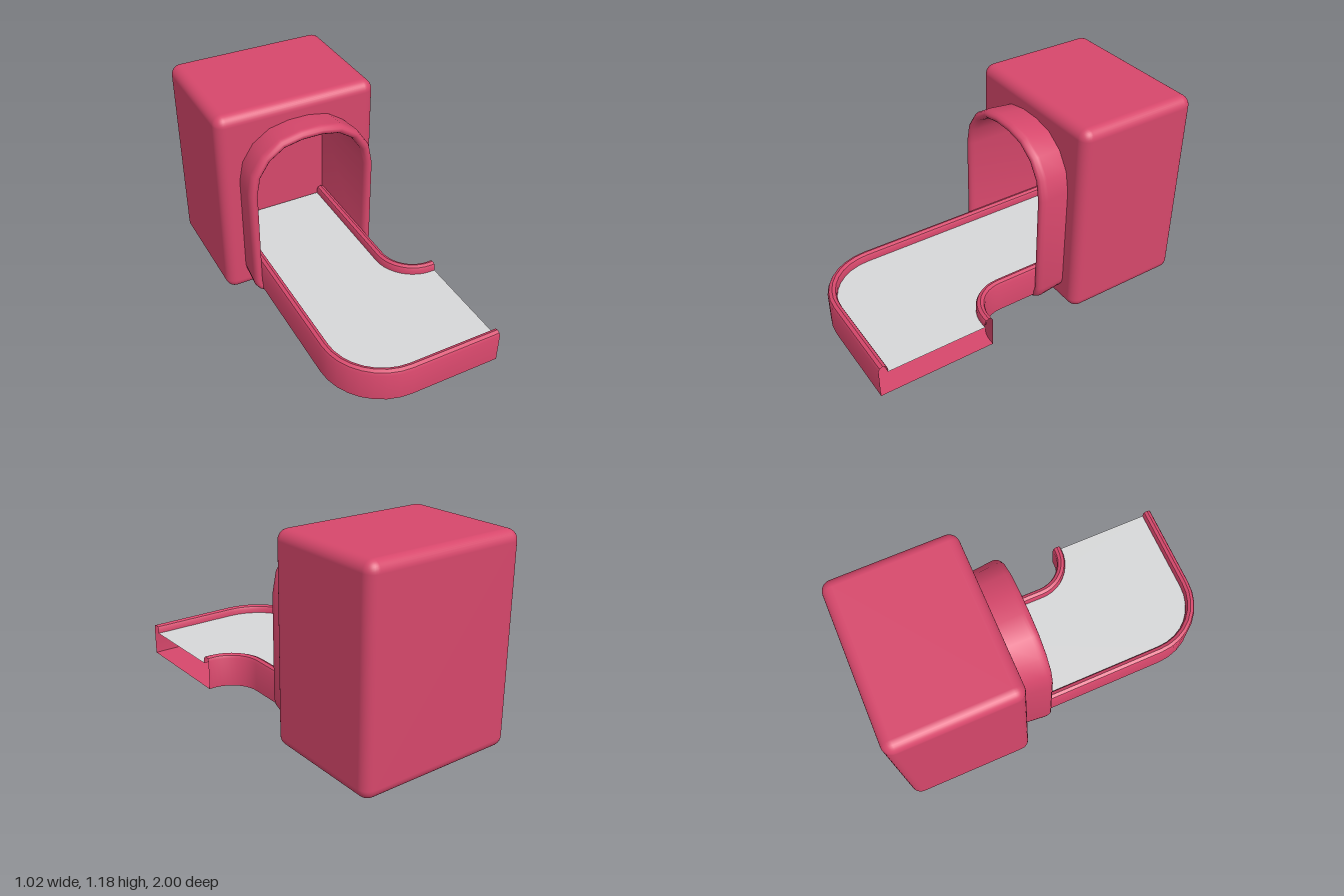
import * as THREE from 'three';
import { toCreasedNormals } from 'three/addons/utils/BufferGeometryUtils.js';
import { RoundedBoxGeometry } from 'three/addons/geometries/RoundedBoxGeometry.js';

const pink = new THREE.MeshStandardMaterial({ color: 0xd6476b, side: THREE.DoubleSide });
pink.name = 'pink shell';
const grey = new THREE.MeshStandardMaterial({ color: 0xd6d7d8, side: THREE.DoubleSide });
grey.name = 'grey floor';

// Skin a list of equally long rows of Vector3
function skin(rows, closed) {
  const n = rows[0].length, index = [];
  for (let r = 0; r < rows.length - 1; r++) {
    for (let i = 0; i < (closed ? n : n - 1); i++) {
      const a = r * n + i, b = r * n + (i + 1) % n;
      index.push(a, b, b + n, a, b + n, a + n);
    }
  }
  const g = new THREE.BufferGeometry().setFromPoints(rows.flat());
  g.setIndex(index);
  return toCreasedNormals(g, 0.7);
}

function arc(cx, cy, r, from, to, n) {
  return Array.from({ length: n + 1 }, (_, i) => {
    const t = from + (to - from) * i / n;
    return new THREE.Vector2(cx + r * Math.cos(t), cy + r * Math.sin(t));
  });
}

// Doorway outline: large round corners on top, small ones below
function doorway(inset) {
  const H = Math.PI / 2, top = 0.32 - inset, low = 0.1 - inset;
  return [
    ...arc(0.25, 0.17, low, -H, 0, 4),
    ...arc(0.03, 0.775, top, 0, H, 4),
    ...arc(-0.09, 0.775, top, H, 2 * H, 4),
    ...arc(-0.31, 0.17, low, 2 * H, 3 * H, 4),
  ];
}

// Plan of the two tray walls as (x, z), moved inwards by an inset
const TRAY_BACK = -0.61;
function outerWall(d) {
  return [
    new THREE.Vector2(-0.365 + d, TRAY_BACK),
    ...arc(-0.015, 0.65, 0.35 - d, Math.PI, Math.PI / 2, 8),
    new THREE.Vector2(0.51, 1 - d),
  ];
}
function innerWall(d) {
  return [
    new THREE.Vector2(0.305 - d, TRAY_BACK),
    ...arc(0.485, 0.15, 0.18 + d, Math.PI, Math.PI / 2, 10),
    new THREE.Vector2(0.51, 0.33 + d),
  ];
}
function trayPlate(inset, y) {
  const shape = new THREE.Shape([...outerWall(inset), ...innerWall(inset).reverse()]);
  return new THREE.ShapeGeometry(shape).rotateX(Math.PI / 2).translate(0, y, 0);
}

export function createModel() {
  const model = new THREE.Group();
  const add = (name, geometry, material = pink) => {
    const mesh = new THREE.Mesh(geometry, material);
    mesh.name = name;
    model.add(mesh);
  };

  // Rounded housing, with its flat front taken out
  const box = new RoundedBoxGeometry(0.96, 1.185, 0.74, 4, 0.06).translate(-0.03, 0.5925, -0.63);
  const pos = box.attributes.position, nor = box.attributes.normal;
  const kept = [];
  for (let i = 0; i < pos.count; i += 3) {
    const flat = [i, i + 1, i + 2].every((k) => nor.getZ(k) > 0.999);
    if (!flat) kept.push(i, i + 1, i + 2);
  }
  box.clearGroups();
  box.setIndex(kept);
  add('housing', box);

  // Front of the housing with the doorway cut out
  const front = new THREE.Shape();
  front.moveTo(-0.45, 0.06).lineTo(0.39, 0.06).lineTo(0.39, 1.125).lineTo(-0.45, 1.125);
  front.holes.push(new THREE.Path(doorway(0.04)));
  add('housingFront', new THREE.ShapeGeometry(front).translate(0, 0, -0.26));

  // Flared collar, rounded lip and recess walls: inset and z
  const collar = [
    [0.014, -0.27], [0, -0.125], [0, -0.11], [0.006, -0.09], [0.016, -0.081],
    [0.025, -0.079], [0.036, -0.082], [0.046, -0.092], [0.052, -0.11], [0.052, -0.62],
  ];
  add('doorwayCollar', skin(collar.map(([d, z]) =>
    doorway(d).map((p) => new THREE.Vector3(p.x, p.y, z))), true));
  add('recessBack', new THREE.ShapeGeometry(new THREE.Shape(doorway(0.052))).translate(0, 0, -0.62));

  // Tray walls with rolled tops: inset and y
  const rim = [
    [0, 0.11], [0, 0.282], [0.007, 0.297], [0.025, 0.305],
    [0.043, 0.297], [0.05, 0.282], [0.05, 0.255],
  ];
  for (const [name, plan] of [['outerTrayWall', outerWall], ['innerTrayWall', innerWall]]) {
    add(name, skin(rim.map(([d, y]) =>
      plan(d).map((p) => new THREE.Vector3(p.x, y, p.y))), false));
  }
  add('trayBottom', trayPlate(0, 0.11));
  add('trayFloor', trayPlate(0.05, 0.256), grey);

  return model;
}
